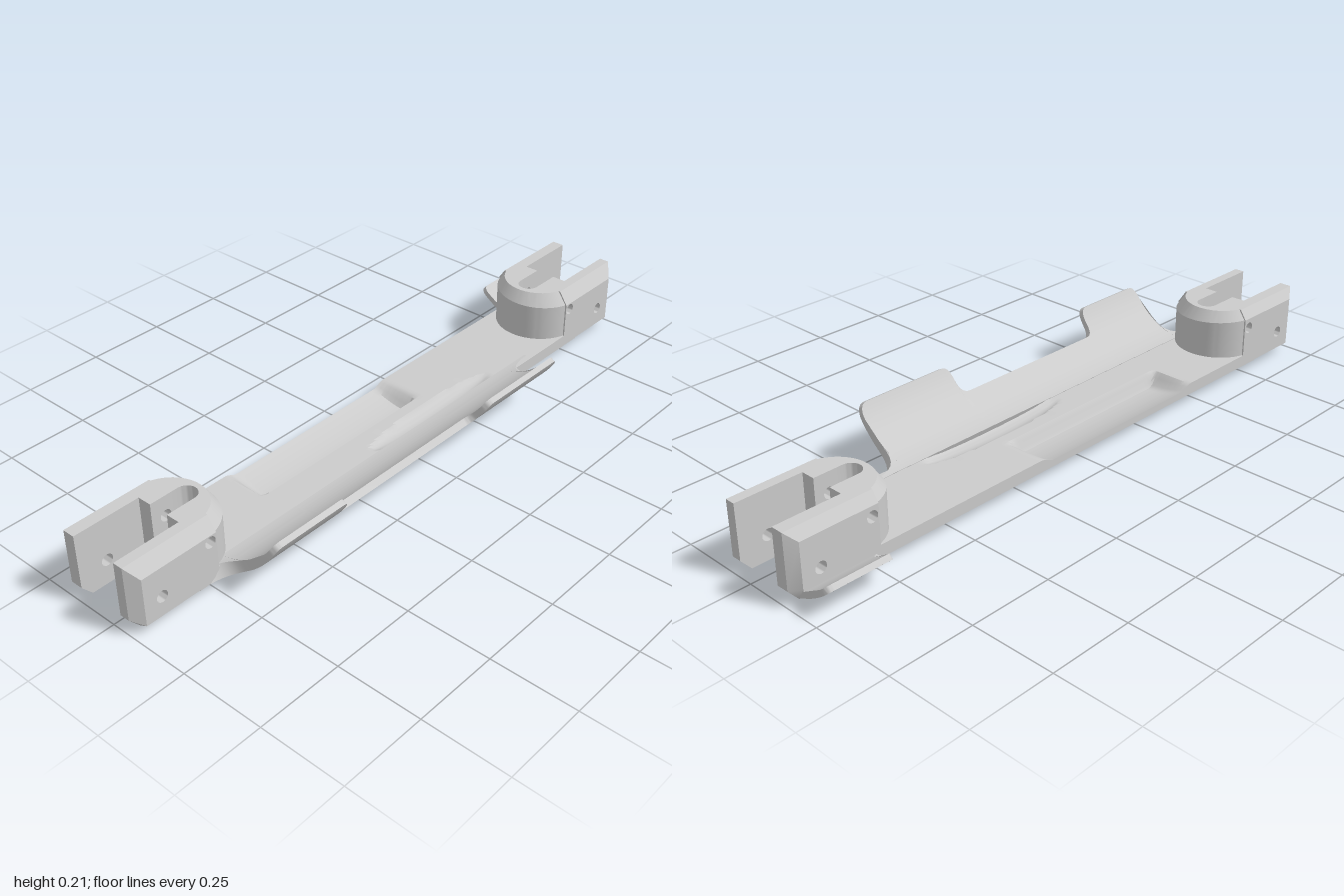
import * as THREE from 'three';
import { toCreasedNormals } from 'three/addons/utils/BufferGeometryUtils.js';

const R = 0.34, ZC = -0.04;            // underside radius and its centre line
const ZF = 0.09, ZB = -0.17;           // front and back faces of the bar
const H = 0.21;                        // height of the end forks
const V = (x, y, z) => new THREE.Vector3(x, y, z);
const { lerp, smoothstep } = THREE.MathUtils;
const material = new THREE.MeshStandardMaterial({ color: 0xcccccc });

// Skin a run of closed rings and cap both ends
function loft(rings) {
  const n = rings[0].length, pos = [], idx = [];
  rings.forEach(r => r.forEach(p => pos.push(p.x, p.y, p.z)));
  for (let i = 0; i < rings.length - 1; i++) {
    for (let j = 0; j < n; j++) {
      const a = i * n + j, b = i * n + (j + 1) % n;
      idx.push(a, a + n, b, b, a + n, b + n);
    }
  }
  [0, rings.length - 1].forEach((i, end) => {
    const c = rings[i].reduce((s, p) => s.add(p), V(0, 0, 0)).divideScalar(n);
    const k = pos.length / 3;
    pos.push(c.x, c.y, c.z);
    for (let j = 0; j < n; j++) {
      const a = i * n + j, b = i * n + (j + 1) % n;
      idx.push(k, end ? b : a, end ? a : b);
    }
  });
  const g = new THREE.BufferGeometry();
  g.setAttribute('position', new THREE.Float32BufferAttribute(pos, 3));
  g.setIndex(idx);
  return g;
}

// Mesh with creased normals, optionally mirrored in x
function part(name, geometry, mirror = false) {
  let g = geometry.index ? geometry.toNonIndexed() : geometry;
  g.deleteAttribute('uv');
  if (mirror) {
    const p = g.attributes.position, a = V(), b = V();
    g.scale(-1, 1, 1);
    for (let i = 0; i < p.count; i += 3) {
      a.fromBufferAttribute(p, i + 1);
      b.fromBufferAttribute(p, i + 2);
      p.setXYZ(i + 1, b.x, b.y, b.z);
      p.setXYZ(i + 2, a.x, a.y, a.z);
    }
  }
  g.deleteAttribute('normal');
  g.computeVertexNormals();
  const m = new THREE.Mesh(toCreasedNormals(g, 0.55), material);
  m.name = name;
  return m;
}

// Height of a point on a cylinder concentric with the underside
const arcY = (z, r = R) => R - Math.sqrt(r * r - (z - ZC) ** 2);

// Bar top: flat, with a long scoop at the back and a shallow one in front
function topY(x, z) {
  const long = smoothstep(x, -0.47, -0.43) * (1 - smoothstep(x, 0.13, 0.17));
  const back = 1 - smoothstep(z, -0.05, -0.03);
  const dish = 1 - ((x - 0.14) / 0.26) ** 2 - ((z - 0.045) / 0.04) ** 2;
  const y = lerp(0.062, arcY(z, R - 0.02), long * back);
  return y - 0.02 * Math.sqrt(Math.max(0, dish));
}

function barGeometry() {
  const rings = [];
  for (let i = 0; i <= 120; i++) {
    const x = lerp(-0.8, 0.8, i / 120), ring = [];
    for (let j = 0; j <= 20; j++) {
      const z = lerp(ZB, ZF, j / 20);
      ring.push(V(x, arcY(z), z));
    }
    for (let j = 0; j <= 39; j++) {
      const z = lerp(ZF, ZB, j / 39);
      ring.push(V(x, topY(x, z), z));
    }
    rings.push(ring);
  }
  return loft(rings);
}

// Curved flange between the bar and an outline given in (x, z)
function flangeGeometry(outline, zBase, thickness) {
  const angle = z => Math.asin((z - ZC) / R), N = 24;
  const rings = outline.getPoints(8).map(p => {
    const from = angle(Math.min(p.y, zBase)), to = angle(Math.max(p.y, zBase));
    const at = (k, inner) => {
      const a = lerp(from, to, k / N);
      const r = R - (inner ? thickness(ZC + R * Math.sin(a)) : 0);
      return V(p.x, R - r * Math.cos(a), ZC + r * Math.sin(a));
    };
    const ring = [];
    for (let k = 0; k <= N; k++) ring.push(at(k, false));
    for (let k = N; k >= 0; k--) ring.push(at(k, true));
    return ring;
  });
  return loft(rings);
}

function frontOutline() {
  const p = new THREE.Path();
  p.moveTo(-0.79, 0.088).quadraticCurveTo(-0.7, 0.09, -0.7, 0.17);
  p.lineTo(-0.7, 0.235).quadraticCurveTo(-0.7, 0.26, -0.675, 0.26);
  p.lineTo(-0.465, 0.26).quadraticCurveTo(-0.44, 0.26, -0.44, 0.235);
  p.quadraticCurveTo(-0.44, 0.205, -0.41, 0.205);
  p.lineTo(0.09, 0.205).quadraticCurveTo(0.12, 0.205, 0.12, 0.235);
  p.quadraticCurveTo(0.12, 0.26, 0.145, 0.26);
  p.lineTo(0.42, 0.26).quadraticCurveTo(0.45, 0.26, 0.45, 0.235);
  p.lineTo(0.45, 0.17).quadraticCurveTo(0.45, 0.09, 0.56, 0.088);
  return p;
}

function backOutline() {
  const p = new THREE.Path();
  p.moveTo(0.7, -0.168).quadraticCurveTo(0.77, -0.17, 0.77, -0.2);
  p.lineTo(0.77, -0.245).quadraticCurveTo(0.77, -0.265, 0.79, -0.265);
  p.lineTo(0.95, -0.265).quadraticCurveTo(0.97, -0.265, 0.97, -0.245);
  p.lineTo(0.97, -0.168);
  return p;
}

// Fork cheek layer with pin holes; a drop bevels its outer face
function cheekGeometry(points, holes, z0, z1, outer = null, drop = 0) {
  const shape = new THREE.Shape(points.map(p => new THREE.Vector2(...p)));
  holes.forEach(([x, y]) => shape.holes.push(new THREE.Path().absarc(x, y, 0.017, 0, Math.PI * 2, true)));
  const g = new THREE.ExtrudeGeometry(shape, { depth: z1 - z0, bevelEnabled: false, curveSegments: 24 });
  g.translate(0, 0, z0);
  const p = g.attributes.position;
  for (let i = 0; outer !== null && i < p.count; i++) {
    if (Math.abs(p.getZ(i) - outer) > 1e-4) continue;
    if (p.getY(i) > 0.2) p.setY(i, H - drop);
    if (p.getY(i) < 0.02) p.setY(i, 0.028);
    if (p.getX(i) > 0.98) p.setX(i, 0.97);
  }
  return g;
}

// Rounded root of the fork, wrapped around a narrow round-ended slot
function rootGeometry() {
  const rings = [], N = 32, start = Math.acos(-0.035 / 0.13), stretch = 1 / Math.sin(start);
  for (let i = 0; i <= N; i++) {
    const t = lerp(Math.PI * 2 - start, start, i / N);
    const u = lerp(1.5, 0.5, i / N) * Math.PI, side = (Math.sin(t) + 1) / 2;
    const out = (r, y) => V(0.77 + r * Math.cos(t), y, ZC + r * stretch * 0.965 * Math.sin(t));
    const edge = i === 0 || i === N;
    const inner = y => V(edge ? 0.735 : 0.711 + 0.031 * Math.cos(u), y, ZC + 0.031 * Math.sin(u));
    rings.push([out(0.13, 0.03), out(0.13, H - lerp(0.03, 0.04, side)),
      out(0.13 - lerp(0.02, 0.027, side), H), inner(H), inner(0.055)]);
  }
  return loft(rings);
}

function fork(name, mirror) {
  const g = new THREE.Group();
  g.name = name;
  const arm = [[0.735, 0.015], [0.97, 0.015], [1, 0.05], [1, H], [0.735, H]];
  const step = [[0.735, 0.04], [0.8, 0.04], [0.8, H], [0.735, H]];
  const upper = [0.755, 0.15], holes = [upper, [0.915, 0.085]];
  g.add(
    part('forkRoot', rootGeometry(), mirror),
    part('frontCheek', cheekGeometry(arm, holes, 0.033, 0.063), mirror),
    part('frontCheekBevel', cheekGeometry(arm, holes, 0.063, ZF, ZF, 0.04), mirror),
    part('frontStep', cheekGeometry(step, [upper], -0.009, 0.033), mirror),
    part('backCheek', cheekGeometry(arm, holes, -0.15, -0.113), mirror),
    part('backCheekBevel', cheekGeometry(arm, holes, ZB, -0.15, ZB, 0.03), mirror),
    part('backStep', cheekGeometry(step, [upper], -0.113, -0.071), mirror),
  );
  return g;
}

export function createModel() {
  const model = new THREE.Group();
  model.name = 'forkedBar';
  const taper = z => 0.016 + 0.026 * Math.max(0, (0.26 - z) / 0.17) ** 1.5;
  model.add(
    part('bar', barGeometry()),
    part('frontFlange', flangeGeometry(frontOutline(), 0.08, taper)),
    part('backTab', flangeGeometry(backOutline(), -0.14, () => 0.016)),
    fork('leftFork', false),
    fork('rightFork', true),
  );
  return model;
}
